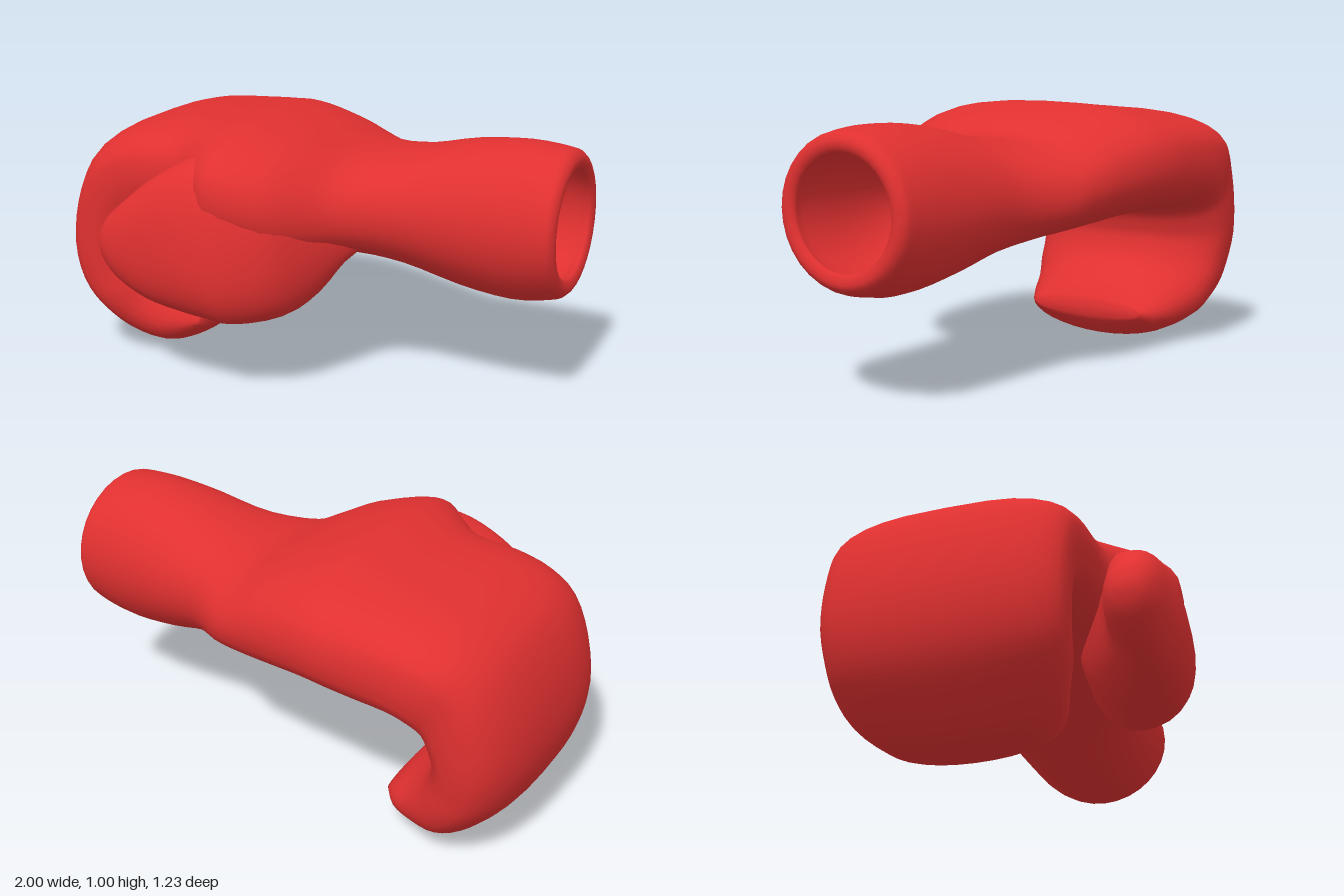
import * as THREE from 'three';

const SIDES = 32, STEPS = 3, WALL = 0.062;
const material = new THREE.MeshStandardMaterial({ color: 0xe03030 });

// Smooth interpolation between the rows of a section table
function resample(rows) {
  const out = [], last = rows.length - 1;
  for (let i = 0; i < last; i++) {
    const [a, b, c, d] = [i - 1, i, i + 1, i + 2].map(k => rows[Math.min(Math.max(k, 0), last)]);
    for (let s = 0; s < STEPS; s++) {
      const t = s / STEPS;
      out.push(b.map((v, k) => v + 0.5 * t * (c[k] - a[k]
        + t * (2 * a[k] - 5 * v + 4 * c[k] - d[k] + t * (3 * (v - c[k]) + d[k] - a[k])))));
    }
  }
  out.push(rows[last]);
  return out;
}

// Skin over superellipse sections.
// Row: outer point x,y,z, inner point x,y,z, half width in z, roundness exponent
function loft(name, rows) {
  const rings = resample(rows), pos = [], index = [];
  const round = (v, n) => Math.sign(v) * Math.pow(Math.abs(v), 2 / n);
  for (const [ox, oy, oz, ix, iy, iz, half, n] of rings) {
    for (let j = 0; j < SIDES; j++) {
      const a = j / SIDES * Math.PI * 2;
      const u = round(Math.cos(a), n) / 2, w = round(Math.sin(a), n) * half;
      pos.push((ox + ix) / 2 + (ox - ix) * u, (oy + iy) / 2 + (oy - iy) * u, (oz + iz) / 2 + (oz - iz) * u + w);
    }
  }
  const centre = r => pos.push((r[0] + r[3]) / 2, (r[1] + r[4]) / 2, (r[2] + r[5]) / 2);
  const end = rings.length - 1, c0 = rings.length * SIDES, c1 = c0 + 1;
  centre(rings[0]);
  centre(rings[end]);
  for (let j = 0; j < SIDES; j++) {
    const k = (j + 1) % SIDES;
    for (let i = 0; i < end; i++) {
      const a = i * SIDES + j, b = i * SIDES + k;
      index.push(a, a + SIDES, b, b, a + SIDES, b + SIDES);
    }
    index.push(j, k, c0, end * SIDES + j, c1, end * SIDES + k);
  }
  const geometry = new THREE.BufferGeometry();
  geometry.setAttribute('position', new THREE.Float32BufferAttribute(pos, 3));
  geometry.setIndex(index);
  geometry.computeVertexNormals();
  const mesh = new THREE.Mesh(geometry, material);
  mesh.name = name;
  return mesh;
}

// Below: outer x,y, inner x,y, back z, front z, exponent, lean of the outer side in z
const rim = [0.998, 0.912, 1.0, 0.442, -0.32, 0.175, 2];
const cuff = [
  [0.982, 0.943, 0.985, 0.415, -0.35, 0.208, 2],
  [0.94, 0.958, 0.94, 0.395, -0.36, 0.215, 2],
  [0.80, 0.968, 0.80, 0.375, -0.37, 0.215, 2],
  [0.60, 0.95, 0.60, 0.40, -0.385, 0.22, 2],
  [0.40, 0.905, 0.40, 0.46, -0.41, 0.235, 2.1],
];
// Back of the hand and palm, swelling towards the thumb root
const hand = [
  [0.20, 0.885, 0.24, 0.50, -0.50, 0.325, 2.2],
  [0.10, 0.915, 0.14, 0.505, -0.53, 0.43, 2.3],
  [0.00, 0.955, 0.03, 0.51, -0.555, 0.525, 2.4],
  [-0.18, 0.997, -0.18, 0.53, -0.595, 0.575, 2.5],
  [-0.31, 0.988, -0.30, 0.545, -0.61, 0.475, 2.6],
  [-0.44, 0.975, -0.41, 0.55, -0.61, 0.37, 2.7],
  [-0.63, 0.955, -0.54, 0.555, -0.61, 0.355, 2.9],
  [-0.78, 0.91, -0.61, 0.54, -0.605, 0.345, 3, 0.01],
];
// Curled fingers
const fingers = [
  [-0.895, 0.82, -0.645, 0.505, -0.59, 0.335, 2.9, 0.03],
  [-0.97, 0.65, -0.66, 0.46, -0.585, 0.33, 2.8, 0.04],
  [-1.00, 0.45, -0.665, 0.42, -0.575, 0.33, 2.7, 0.04],
  [-0.97, 0.28, -0.65, 0.37, -0.56, 0.325, 2.6, 0.04],
  [-0.89, 0.155, -0.63, 0.335, -0.545, 0.32, 2.4, 0.03],
  [-0.77, 0.045, -0.60, 0.305, -0.51, 0.29, 2.2, 0.02],
  [-0.62, 0.0, -0.55, 0.265, -0.45, 0.25, 2.1, 0.02],
  [-0.51, 0.035, -0.50, 0.22, -0.40, 0.21, 2.1],
  [-0.45, 0.10, -0.455, 0.165, -0.34, 0.16, 2.1],
];
// Thumb: x, top y, top z, bottom y, bottom z, half width, exponent
const thumb = [
  [0.32, 0.72, 0.18, 0.60, 0.18, 0.02, 2],
  [0.22, 0.77, 0.21, 0.51, 0.23, 0.06, 2],
  [0.14, 0.82, 0.24, 0.395, 0.29, 0.125, 2.1],
  [0.05, 0.86, 0.29, 0.322, 0.36, 0.185, 2.3],
  [-0.10, 0.90, 0.33, 0.29, 0.42, 0.215, 2.5],
  [-0.20, 0.915, 0.35, 0.297, 0.43, 0.215, 2.5],
  [-0.32, 0.89, 0.40, 0.315, 0.46, 0.178, 2.4],
  [-0.45, 0.81, 0.46, 0.345, 0.49, 0.124, 2.3],
  [-0.57, 0.71, 0.48, 0.40, 0.49, 0.103, 2.2],
  [-0.64, 0.64, 0.49, 0.465, 0.49, 0.07, 2],
  [-0.665, 0.57, 0.49, 0.53, 0.49, 0.025, 2],
];

// Section of the hollow inside, one wall thickness in from the outer skin
function inset([ox, oy, ix, iy, z0, z1, n, lean]) {
  const f = WALL / Math.hypot(ox - ix, oy - iy), dx = (ix - ox) * f, dy = (iy - oy) * f;
  return [ox + dx, oy + dy, ix - dx, iy - dy, z0 + WALL, Math.min(z1 - WALL, 0.16), n, lean];
}

export function createModel() {
  const group = new THREE.Group();
  group.name = 'boxingGlove';
  const skin = [...cuff, ...hand, ...fingers];
  const hollow = skin.slice(0, -2).reverse().map(inset);
  const body = [...hollow, rim, ...skin].map(([ox, oy, ix, iy, z0, z1, n, lean = 0]) =>
    [ox, oy, (z0 + z1) / 2 + lean, ix, iy, (z0 + z1) / 2, (z1 - z0) / 2, n]);
  group.add(loft('gloveBody', body));
  group.add(loft('thumb', thumb.map(([x, ty, tz, by, bz, half, n]) => [x, ty, tz, x, by, bz, half, n])));
  return group;
}
